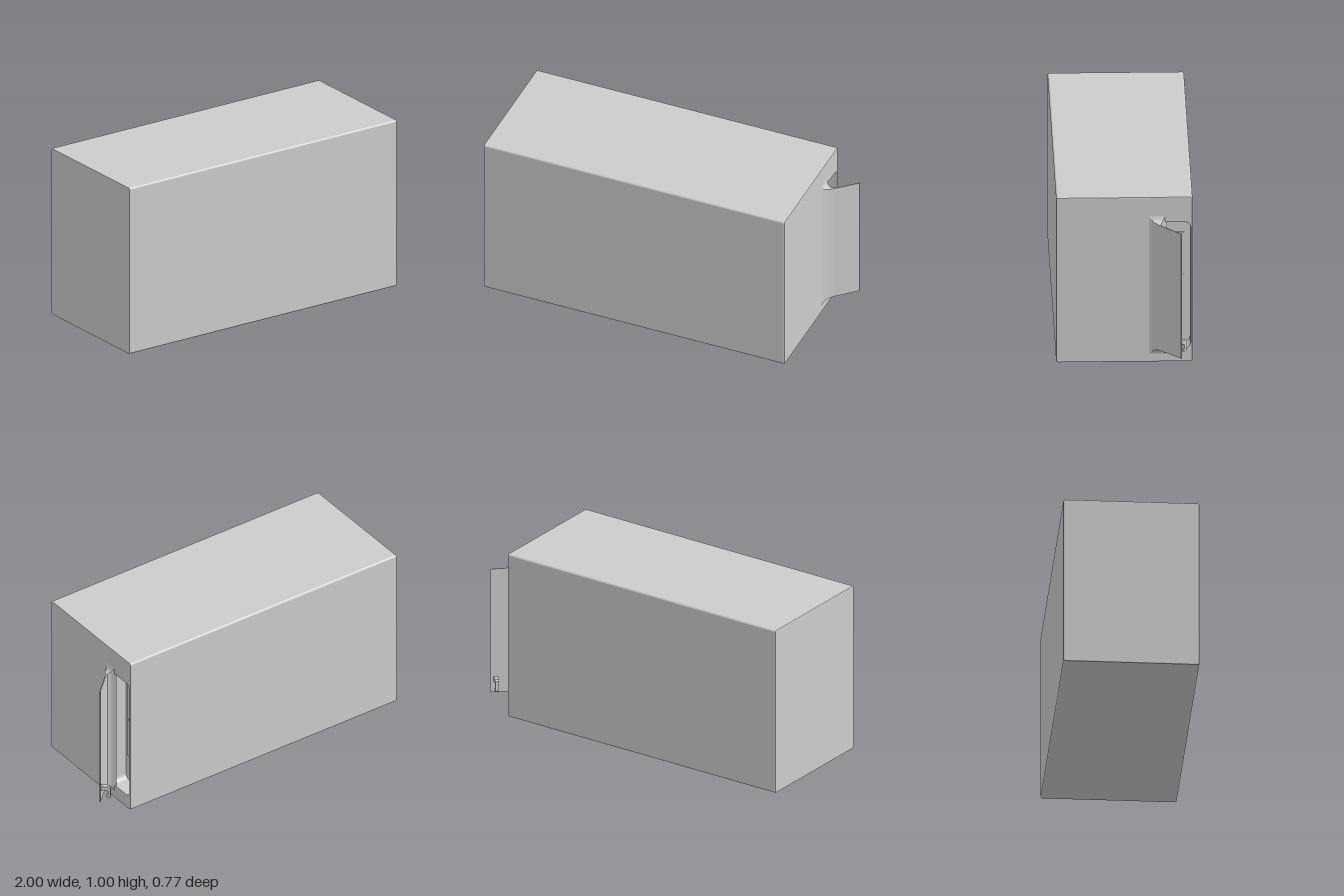
import * as THREE from 'three';

const grey = new THREE.MeshStandardMaterial({ color: 0xcccccc, side: THREE.DoubleSide });
const flatGrey = new THREE.MeshStandardMaterial({ color: 0xcccccc, flatShading: true, side: THREE.DoubleSide });

// Rounded rectangle traced onto a Shape or Path
function roundedRect(path, x0, y0, x1, y1, r) {
  path.moveTo(x0 + r, y0);
  path.lineTo(x1 - r, y0);
  path.absarc(x1 - r, y0 + r, r, -Math.PI / 2, 0);
  path.lineTo(x1, y1 - r);
  path.absarc(x1 - r, y1 - r, r, 0, Math.PI / 2);
  path.lineTo(x0 + r, y1);
  path.absarc(x0 + r, y1 - r, r, Math.PI / 2, Math.PI);
  path.lineTo(x0, y0 + r);
  path.absarc(x0 + r, y0 + r, r, Math.PI, Math.PI * 1.5);
  return path;
}

function named(name, geometry, material = grey) {
  const mesh = new THREE.Mesh(geometry, material);
  mesh.name = name;
  return mesh;
}

// Extrudes a (-z, y) outline along x; the bevels reach beyond x0 and x1
function extrudeX(shape, x0, x1, bevel) {
  const g = new THREE.ExtrudeGeometry(shape, {
    depth: x1 - x0, bevelEnabled: bevel > 0, bevelSize: bevel, bevelThickness: bevel,
    bevelOffset: -bevel, bevelSegments: 2, curveSegments: 6,
  });
  return g.rotateY(Math.PI / 2).translate(x0, 0, 0);
}

// Flap with a flared hinge root; each section: x, front z, back z, low y, high y
function flapGeometry() {
  const sections = [
    [0.830, -0.125, -0.240, 0.040, 0.895],
    [0.838, -0.140, -0.230, 0.050, 0.882],
    [0.845, -0.157, -0.220, 0.066, 0.864],
    [0.854, -0.170, -0.212, 0.077, 0.852],
    [0.870, -0.188, -0.206, 0.083, 0.846],
    [0.890, -0.210, -0.218, 0.084, 0.844],
    [1.000, -0.314, -0.320, 0.085, 0.842],
  ];
  const rings = sections.map(([x, zf, zb, lo, hi]) =>
    [[x, lo, zf], [x, lo, zb], [x, hi, zb], [x, hi, zf]]);
  const pos = [];
  const quad = (a, b, c, d) => pos.push(...a, ...b, ...c, ...a, ...c, ...d);
  for (let s = 0; s < rings.length - 1; s++) {
    for (let i = 0; i < 4; i++) {
      const j = (i + 1) % 4;
      quad(rings[s][i], rings[s][j], rings[s + 1][j], rings[s + 1][i]);
    }
  }
  quad(...rings[rings.length - 1]);
  const g = new THREE.BufferGeometry();
  g.setAttribute('position', new THREE.Float32BufferAttribute(pos, 3));
  g.computeVertexNormals();
  return g;
}

export function createModel() {
  const model = new THREE.Group();
  model.name = 'boxWithFlap';
  const bevel = 0.006;
  const joint = 0.735; // x of the recess floor
  const outline = () => roundedRect(new THREE.Shape(), -0.382, 0, 0.384, 1, 0.012);

  // Solid block, then the end section that holds the recess
  model.add(named('body', extrudeX(outline(), -1 + bevel, joint, bevel)));
  const rim = outline();
  rim.holes.push(roundedRect(new THREE.Path(), 0.205, 0.085, 0.371, 0.845, 0.03));
  model.add(named('recessRim', extrudeX(rim, joint, 0.838 - bevel, bevel)));

  // Two slim panels on the recess floor
  for (const y of [0.25, 0.505]) {
    const panel = roundedRect(new THREE.Shape(), 0.225, y, 0.34, y + 0.245, 0.006);
    model.add(named('recessPanel', extrudeX(panel, joint, joint + bevel + 0.005, 0)));
  }

  // Open flap, hinged beside the recess
  model.add(named('flap', flapGeometry(), flatGrey));

  // Hooked latch on the inner side of the flap
  const hook = new THREE.Shape([
    [-0.004, 0.155], [0.040, 0.155], [0.040, 0.124], [0.032, 0.124], [0.032, 0.111],
    [0.054, 0.111], [0.054, 0.174], [0.046, 0.181], [-0.004, 0.181],
  ].map(([x, y]) => new THREE.Vector2(x, y)));
  const hookGeometry = new THREE.ExtrudeGeometry(hook, { depth: 0.022, bevelEnabled: false });
  const latch = named('latch', hookGeometry.translate(0, 0, -0.011));
  latch.rotation.y = Math.PI * 0.75;
  latch.position.set(0.979, 0, -0.3);
  model.add(latch);

  return model;
}
